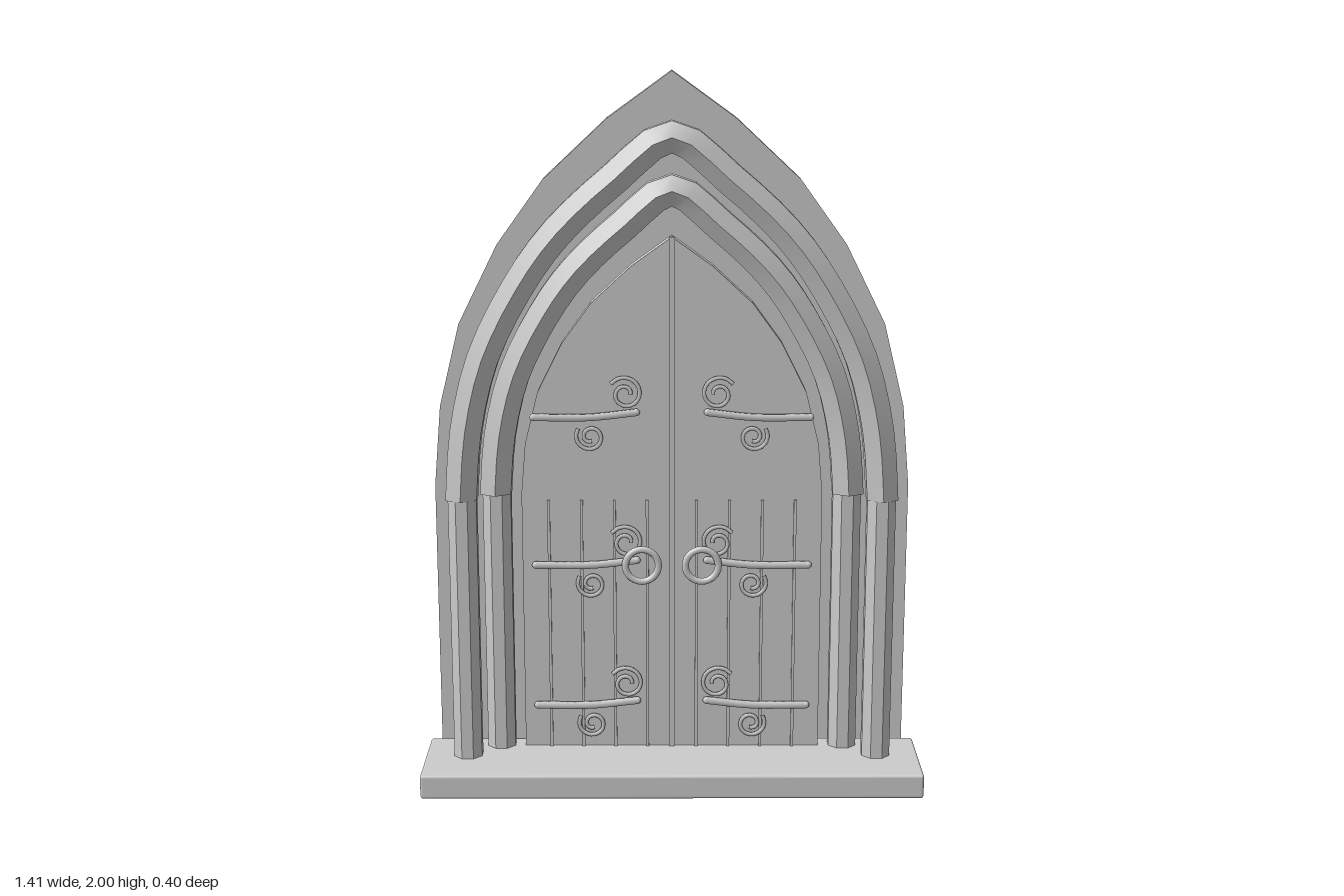
import * as THREE from 'three';
import { RoundedBoxGeometry } from 'three/addons/geometries/RoundedBoxGeometry.js';

const stone = new THREE.MeshStandardMaterial({ color: 0xcccccc });
stone.name = 'paleGrey';

const SPRING = 0.83; // height where the arches begin

// Right half of a pointed arch, from springing to just before the apex
const HALF = [[1, 0], [0.971, 0.197], [0.885, 0.4], [0.72, 0.592], [0.53, 0.745], [0.265, 0.889]];

function archPoints(halfWidth, apex) {
  const side = HALF.map(([x, y]) => [x * halfWidth, SPRING + y * (apex - SPRING)]);
  const left = side.map(([x, y]) => [-x, y]).reverse();
  return [...side, [0, apex], ...left].map(([x, y]) => new THREE.Vector2(x, y));
}

function add(parent, name, geometry, x = 0, y = 0, z = 0) {
  const mesh = new THREE.Mesh(geometry, stone);
  mesh.name = name;
  mesh.position.set(x, y, z);
  parent.add(mesh);
}

// Flat pointed panel
function panel(halfWidth, apex, bottom, depth) {
  const shape = new THREE.Shape([
    new THREE.Vector2(-halfWidth, bottom), new THREE.Vector2(halfWidth, bottom),
    ...archPoints(halfWidth, apex)]);
  return new THREE.ExtrudeGeometry(shape, { depth, bevelEnabled: false });
}

// Hexagonal moulding swept along a softened arch: smooth lengthwise, sharp between facets
function moulding(halfWidth, apex, radius, z) {
  const path = new THREE.SplineCurve(archPoints(halfWidth, apex)).getPoints(36);
  const end = path.length - 1;
  const rings = path.map((p, i) => {
    const t = new THREE.Vector2().subVectors(path[Math.min(i + 1, end)], path[Math.max(i - 1, 0)]);
    if (i === 0 || i === end) t.set(0, i === 0 ? 1 : -1);
    t.normalize();
    return Array.from({ length: 6 }, (_, k) => {
      const a = Math.PI / 6 + k * Math.PI / 3;
      const r = Math.cos(a) * radius;
      return [p.x + t.y * r, p.y - t.x * r, z + Math.sin(a) * radius];
    });
  });
  const pos = [], index = [];
  for (let k = 0; k < 6; k++) {
    const base = pos.length / 3;
    rings.forEach((ring, i) => {
      pos.push(...ring[k], ...ring[(k + 1) % 6]);
      const a = base + i * 2;
      if (i < end) index.push(a, a + 2, a + 3, a, a + 3, a + 1);
    });
  }
  // end caps
  for (const ring of [rings[0], [...rings[end]].reverse()]) {
    const base = pos.length / 3;
    pos.push(...ring.flat());
    for (let k = 1; k < 5; k++) index.push(base, base + k, base + k + 1);
  }
  const g = new THREE.BufferGeometry();
  g.setAttribute('position', new THREE.Float32BufferAttribute(pos, 3));
  g.setIndex(index);
  g.computeVertexNormals();
  return g;
}

// Curled iron spiral, wound inward from a start angle
function scroll(radius, start, turn) {
  const pts = Array.from({ length: 18 }, (_, i) => {
    const t = i / 17;
    const a = start + turn * t * Math.PI * 2.8;
    const r = radius * (1 - 0.7 * t);
    return new THREE.Vector3(Math.cos(a) * r, Math.sin(a) * r, 0);
  });
  return new THREE.TubeGeometry(new THREE.CatmullRomCurve3(pts), 40, 0.006, 6);
}

// Hinge strap with its two scrolls
function hinge(side, y) {
  const g = new THREE.Group();
  g.name = 'hinge';
  const strap = new THREE.CatmullRomCurve3([
    new THREE.Vector3(side * 0.387, y, 0), new THREE.Vector3(side * 0.23, y, 0),
    new THREE.Vector3(side * 0.1, y + 0.014, 0)]);
  add(g, 'strap', new THREE.TubeGeometry(strap, 12, 0.011, 6));
  for (const end of [strap.points[0], strap.points[2]]) {
    add(g, 'strapEnd', new THREE.SphereGeometry(0.011, 8, 6), end.x, end.y, 0);
  }
  const start = Math.PI / 2 - side * 0.95;
  add(g, 'upperScroll', scroll(0.05, start, side), side * 0.13, y + 0.066, 0);
  add(g, 'lowerScroll', scroll(0.042, start, -side), side * 0.228, y - 0.056, 0);
  g.position.z = -0.012;
  return g;
}

export function createModel() {
  const model = new THREE.Group();
  model.name = 'archedDoor';

  // Backing wall and doorstep
  add(model, 'backWall', panel(0.68, 2, 0, 0.08), 0, 0, -0.2);
  add(model, 'doorstep', new RoundedBoxGeometry(1.415, 0.07, 0.285, 2, 0.008), 0, 0.035, 0.0575);

  // Two stepped arches, each standing on a pair of columns
  add(model, 'outerArch', moulding(0.587, 1.832, 0.05, 0.035));
  add(model, 'innerArch', moulding(0.497, 1.683, 0.05, -0.035));
  const column = new THREE.CylinderGeometry(0.043, 0.043, SPRING - 0.06, 8).toNonIndexed();
  column.rotateY(Math.PI / 8);
  column.computeVertexNormals();
  for (const side of [-1, 1]) {
    add(model, 'outerColumn', column, side * 0.585, (SPRING + 0.06) / 2, 0.037);
    add(model, 'innerColumn', column, side * 0.495, (SPRING + 0.06) / 2, -0.041);
  }

  // Door with centre strip and plank seams
  add(model, 'door', panel(0.425, 1.555, 0.06, 0.055), 0, 0, -0.08);
  add(model, 'centreStrip', new THREE.BoxGeometry(0.016, 1.49, 0.014), 0, 0.81, -0.025);
  for (const side of [-1, 1]) {
    for (let i = 0; i < 4; i++) {
      add(model, 'plankSeam', new THREE.BoxGeometry(0.008, 0.75, 0.014),
        side * (0.07 + i * 0.093), 0.435, -0.025);
    }
    // Ironwork
    for (const y of [1.052, 0.622, 0.2]) model.add(hinge(side, y));
    add(model, 'ringHandle', new THREE.TorusGeometry(0.047, 0.01, 8, 28), side * 0.085, 0.625, 0.004);
  }
  return model;
}
